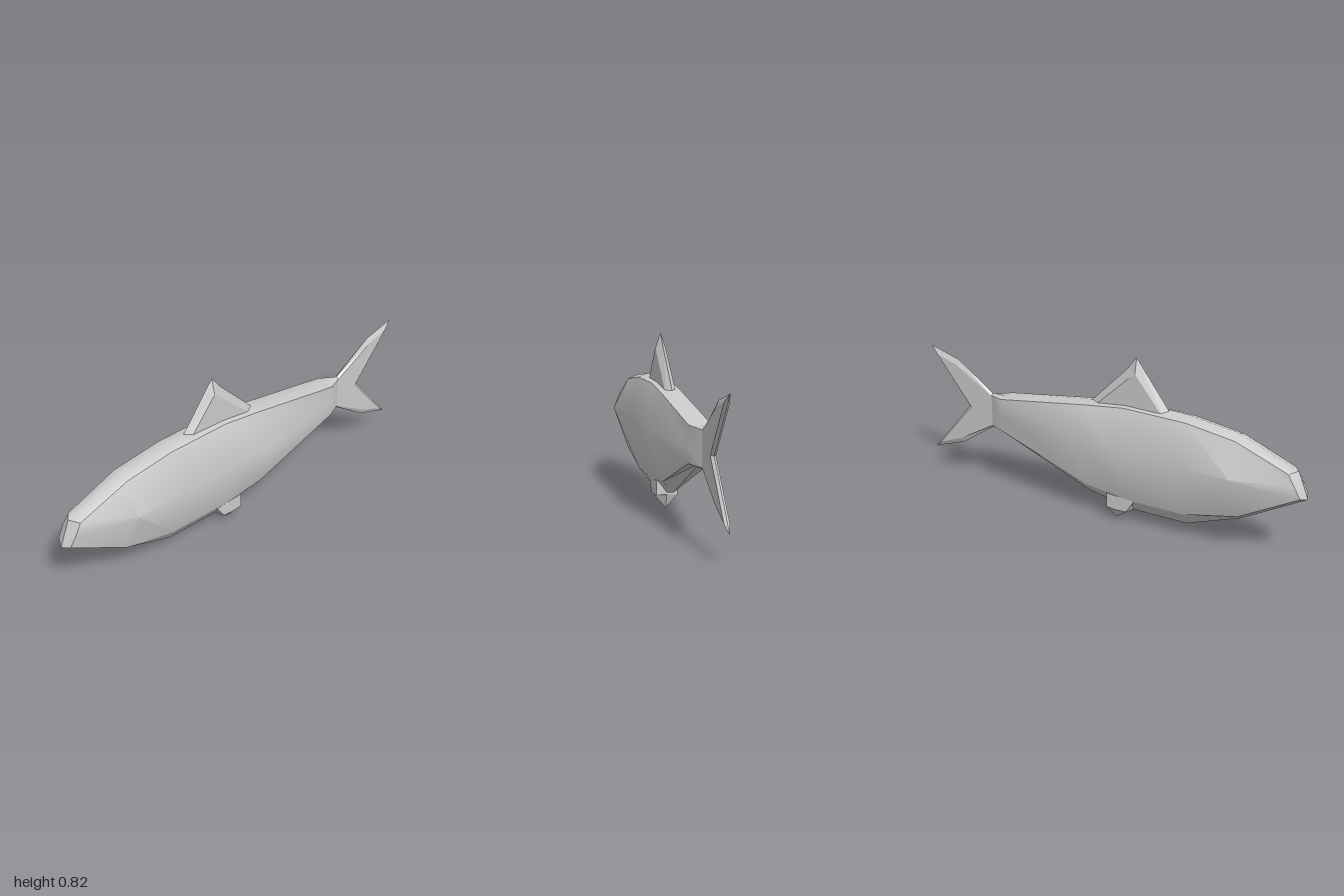
import * as THREE from 'three';
import { toCreasedNormals } from 'three/addons/utils/BufferGeometryUtils.js';

const material = new THREE.MeshStandardMaterial({ color: 0xcccccc });

function part(name, points, index, crease) {
  const geo = new THREE.BufferGeometry();
  geo.setAttribute('position', new THREE.Float32BufferAttribute(points.flat(), 3));
  geo.setIndex(index);
  const mesh = new THREE.Mesh(toCreasedNormals(geo, crease), material);
  mesh.name = name;
  return mesh;
}

// indices that skin a grid of rows, each with n points
function gridIndex(rows, n, start = 0) {
  const index = [];
  for (let i = 0; i < rows - 1; i++) {
    for (let j = 0; j < n - 1; j++) {
      const a = start + i * n + j, d = a + n;
      index.push(a, a + 1, d + 1, a, d + 1, d);
    }
  }
  return index;
}

const sheet = (name, rows, crease = 0.8) =>
  part(name, rows.flat(), gridIndex(rows.length, rows[0].length), crease);

// thin fin: flat inner outline on both faces, bevelled to a sharp outer edge
function fin(name, outer, inner, half) {
  const points = [], n = outer.length;
  for (let i = 0; i <= n; i++) {
    const o = outer[i % n], p = inner[i % n];
    points.push([...p, half], [...o, 0], [...p, -half]);
  }
  const index = gridIndex(n + 1, 3);
  const outline = inner.map(p => new THREE.Vector2(...p));
  for (const [a, b, c] of THREE.ShapeUtils.triangulateShape(outline, [])) {
    index.push(a * 3, b * 3, c * 3, c * 3 + 2, b * 3 + 2, a * 3 + 2);
  }
  return part(name, points, index, 0.1);
}

// stations from nose to tail root:
// x at top, middle, bottom; ridge, upper edge, lower edge, keel heights; half widths
const stations = [
  [-0.92, -0.95, -0.98, 0.455, 0.45, 0.345, 0.33, 0.05, 0.045],
  [-0.67, -0.68, -0.70, 0.57, 0.55, 0.19, 0.16, 0.127, 0.05],
  [-0.43, -0.43, -0.43, 0.603, 0.585, 0.13, 0.06, 0.127, 0.05],
  [-0.12, -0.12, -0.14, 0.597, 0.59, 0.13, 0.06, 0.127, 0.05],
  [0.08, 0.08, 0.09, 0.576, 0.565, 0.16, 0.105, 0.127, 0.05],
  [0.55, 0.55, 0.55, 0.497, 0.495, 0.33, 0.33, 0.05, 0.05],
  [0.63, 0.63, 0.63, 0.495, 0.485, 0.325, 0.317, 0.012, 0.012],
].map(([xt, xm, xb, ridge, up, low, keel, wide, edge], i) => ({
  side: s => [[xt, up, s * edge], [xm, 0.4, s * wide], [xb, low, s * edge]],
  ridge: [i ? xt : xt - 0.03, ridge, 0],
  keel: [i ? xb : xb - 0.02, keel, 0],
}));

export function createModel() {
  const model = new THREE.Group();
  model.name = 'fish';

  // body skin
  model.add(
    sheet('leftFlank', stations.map(s => s.side(1))),
    sheet('rightFlank', stations.map(s => s.side(-1).reverse())),
    sheet('backRidge', stations.map(s => [s.side(-1)[0], s.ridge, s.side(1)[0]])),
    sheet('bellyKeel', stations.map(s => [s.side(1)[2], s.keel, s.side(-1)[2]]), 0.3),
  );

  // blunt snout
  const head = stations[0];
  const noseLine = [head.ridge, [-0.975, 0.393, 0], head.keel];
  model.add(sheet('snout', noseLine.map((p, i) => [head.side(1)[i], p, head.side(-1)[i]]), 0.3));

  // dorsal fin
  model.add(fin('dorsalFin',
    [[-0.35, 0.57], [0.09, 0.555], [-0.11, 0.76], [-0.16, 0.825]],
    [[-0.32, 0.56], [0.06, 0.545], [-0.14, 0.735], [-0.165, 0.755]], 0.025));

  // forked tail
  model.add(fin('tailFin',
    [[0.6, 0.317], [0.63, 0.317], [0.82, 0.19], [0.995, 0.13], [0.77, 0.4],
      [0.985, 0.68], [0.83, 0.635], [0.63, 0.495], [0.6, 0.495]],
    [[0.6, 0.325], [0.63, 0.327], [0.825, 0.215], [0.955, 0.165], [0.755, 0.4],
      [0.945, 0.643], [0.835, 0.607], [0.63, 0.483], [0.6, 0.485]], 0.012));

  // pelvic fin: flat sides with a pointed underside
  model.add(fin('pelvicFin',
    [[-0.18, 0.13], [-0.15, 0.06], [-0.06, 0], [-0.035, 0.07], [-0.035, 0.15]],
    [[-0.18, 0.13], [-0.14, 0.065], [-0.09, 0.063], [-0.035, 0.068], [-0.035, 0.14]], 0.051));

  return model;
}
